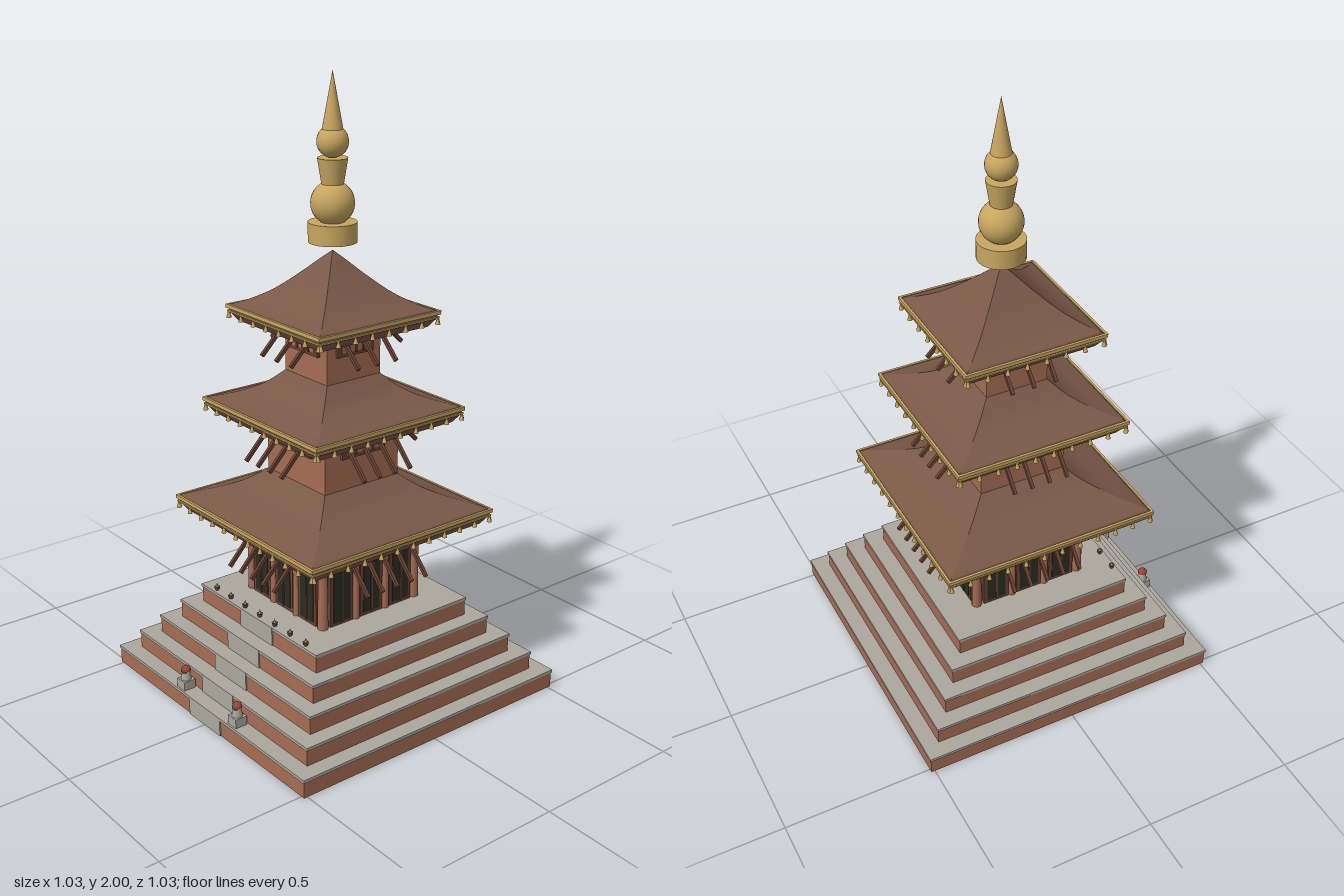
import * as THREE from 'three';

const mat = (name, color, side = THREE.FrontSide) => {
  const m = new THREE.MeshStandardMaterial({ color, side });
  m.name = name;
  return m;
};

export function createModel() {
  const brick = mat('brick', 0xa66c54);
  const stone = mat('stone', 0xaba79e);
  const tile = mat('roof tile', 0x7a5848, THREE.DoubleSide);
  const wood = mat('carved wood', 0x6a4232);
  const dark = mat('dark opening', 0x2b2d22);
  const red = mat('red paint', 0xa2402f);
  const gold = mat('gilded metal', 0xc8a660);
  const bronze = mat('bronze', 0x55564a);

  const model = new THREE.Group();
  model.name = 'tieredTemple';

  const add = (parent, name, geo, material, x = 0, y = 0, z = 0) => {
    const m = new THREE.Mesh(geo, material);
    m.name = name;
    m.position.set(x, y, z);
    parent.add(m);
    return m;
  };
  const box = (parent, name, w, h, d, material, x, y, z) =>
    add(parent, name, new THREE.BoxGeometry(w, h, d), material, x, y, z);
  // Repeats a facade on all four sides
  const fourSides = (name, build) => {
    for (let i = 0; i < 4; i++) {
      const g = new THREE.Group();
      g.name = name;
      g.rotation.y = i * Math.PI / 2;
      build(g);
      model.add(g);
    }
  };

  // Stepped plinth with stone paving and a stair strip on the front
  const halves = [0.512, 0.461, 0.41, 0.359, 0.307];
  const stepH = 0.062;
  halves.forEach((h, i) => {
    const y = i * stepH;
    box(model, 'plinthStep', 2 * h, stepH - 0.01, 2 * h, brick, 0, y + (stepH - 0.01) / 2, 0);
    box(model, 'stepPaving', 2 * h + 0.006, 0.01, 2 * h + 0.006, stone, 0, y + stepH - 0.005, 0);
    box(model, 'stair', 0.17, stepH, 0.008, stone, 0, y + stepH / 2, h);
  });
  const floor = 5 * stepH;

  // Ground storey
  box(model, 'groundStorey', 0.37, 0.28, 0.37, brick, 0, floor + 0.14, 0);
  fourSides('groundFacade', g => {
    for (const x of [-0.12, 0, 0.12]) {
      box(g, 'doorFrame', 0.09, 0.2, 0.02, wood, x, floor + 0.1, 0.188);
      box(g, 'doorLeaf', 0.066, 0.17, 0.008, dark, x, floor + 0.095, 0.196);
      box(g, 'doorMullion', 0.006, 0.17, 0.008, wood, x, floor + 0.095, 0.199);
      box(g, 'lintel', 0.105, 0.032, 0.03, red, x, 0.532, 0.197);
    }
    for (const x of [-0.06, 0.06])
      add(g, 'column', new THREE.CylinderGeometry(0.011, 0.013, 0.27, 10), brick, x, floor + 0.135, 0.193);
    add(g, 'cornerColumn', new THREE.CylinderGeometry(0.014, 0.017, 0.27, 10), brick, 0.187, floor + 0.135, 0.187);
    box(g, 'headBeam', 0.4, 0.02, 0.02, wood, 0, 0.563, 0.19);
  });

  // Upper storeys with latticed windows
  const storey = (half, y0, y1, winW, winH) => {
    box(model, 'upperStorey', 2 * half, y1 - y0, 2 * half, brick, 0, (y0 + y1) / 2, 0);
    fourSides('windowSide', g => {
      const y = y1 - winH / 2 - 0.005;
      box(g, 'windowFrame', winW, winH, 0.012, wood, 0, y, half + 0.004);
      box(g, 'windowPanel', winW - 0.03, winH - 0.025, 0.008, brick, 0, y, half + 0.008);
      for (const k of [-1, 0, 1])
        box(g, 'windowBar', 0.007, winH - 0.02, 0.008, wood, k * winW / 5, y, half + 0.011);
    });
  };
  storey(0.147, 0.7, 0.93, 0.17, 0.085);
  storey(0.105, 1.03, 1.24, 0.14, 0.08);

  // Four-sided roof shell: smooth along the profile, crisp at the hips
  const roofShell = (profile) => {
    const pos = [], idx = [];
    for (let s = 0; s < 4; s++) {
      const c = Math.round(Math.cos(s * Math.PI / 2)), n = Math.round(Math.sin(s * Math.PI / 2));
      const base = pos.length / 3;
      for (const p of profile)
        for (const k of [-1, 1]) pos.push(c * k * p.x + n * p.x, p.y, -n * k * p.x + c * p.x);
      for (let j = 0; j < profile.length - 1; j++) {
        const a = base + 2 * j;
        idx.push(a, a + 1, a + 3, a, a + 3, a + 2);
      }
    }
    const geo = new THREE.BufferGeometry();
    geo.setAttribute('position', new THREE.Float32BufferAttribute(pos, 3));
    geo.setIndex(idx);
    geo.computeVertexNormals();
    return geo;
  };

  // Roofs with gilded eaves, bells and sloping struts
  const roofs = [
    { half: 0.36, y: 0.575, wall: 0.19, bells: 12, struts: 5, drop: 0.13, reach: 0.12,
      curve: [[0.354, 0.628], [0.32, 0.642], [0.26, 0.664], [0.2, 0.694], [0.145, 0.738]] },
    { half: 0.291, y: 0.917, wall: 0.147, bells: 10, struts: 4, drop: 0.115, reach: 0.11,
      curve: [[0.285, 0.97], [0.25, 0.98], [0.2, 0.999], [0.15, 1.028], [0.104, 1.073]] },
    { half: 0.233, y: 1.226, wall: 0.118, bells: 8, struts: 3, drop: 0.085, reach: 0.085,
      curve: [[0.227, 1.279], [0.19, 1.294], [0.13, 1.332], [0.07, 1.388], [0.03, 1.43], [0, 1.46]] },
  ];
  for (const r of roofs) {
    const e = r.half;
    const top = new THREE.SplineCurve(r.curve.map(p => new THREE.Vector2(...p))).getPoints(14);
    add(model, 'roof', roofShell([new THREE.Vector2(e - 0.004, r.y + 0.03), ...top]), tile);
    const V = (x, y) => new THREE.Vector2(x, y);
    add(model, 'eaveFascia', roofShell([V(e - 0.025, r.y), V(e - 0.004, r.y + 0.03)]), tile);
    add(model, 'soffit', roofShell([V(0, r.y), V(e - 0.025, r.y)]), tile);
    fourSides('eaveSide', g => {
      box(g, 'gildedEave', 2 * e + 0.006, 0.012, 0.008, gold, 0, r.y + 0.047, e);
      box(g, 'lowerGilding', 2 * e, 0.005, 0.006, gold, 0, r.y + 0.031, e - 0.002);
      for (let i = 0; i < r.bells; i++) {
        const x = (i / (r.bells - 1) * 2 - 1) * (e - 0.006);
        add(g, 'bell', new THREE.CylinderGeometry(0.002, 0.008, 0.022, 8), gold, x, r.y + 0.021, e - 0.001);
      }
      const len = Math.hypot(r.drop, r.reach);
      for (let i = 0; i < r.struts; i++) {
        const x = (i / (r.struts - 1) * 2 - 1) * r.wall * 0.62;
        const s = box(g, 'strut', 0.01, len, 0.012, wood, x, r.y + 0.005 - r.drop / 2, r.wall + 0.015 + r.reach / 2);
        s.rotation.x = -Math.atan2(r.reach, r.drop);
      }
    });
  }

  // Gilded finial
  add(model, 'finialDrum', new THREE.CylinderGeometry(0.076, 0.076, 0.062, 24), gold, 0, 1.517, 0);
  add(model, 'finialBulb', new THREE.SphereGeometry(0.068, 24, 16), gold, 0, 1.605, 0);
  add(model, 'finialVase', new THREE.CylinderGeometry(0.047, 0.034, 0.08, 24), gold, 0, 1.702, 0);
  add(model, 'finialBead', new THREE.SphereGeometry(0.049, 24, 16), gold, 0, 1.79, 0);
  add(model, 'finialSpire', new THREE.ConeGeometry(0.033, 0.178, 24), gold, 0, 1.911, 0);

  // Guardian statues beside the stair
  for (const side of [-1, 1]) {
    const g = new THREE.Group();
    g.name = 'guardian';
    g.position.set(side * 0.143, stepH, 0.488);
    box(g, 'pedestal', 0.042, 0.03, 0.042, stone, 0, 0.015, 0);
    add(g, 'guardianBody', new THREE.CylinderGeometry(0.012, 0.018, 0.032, 10), stone, 0, 0.044, 0);
    add(g, 'guardianHead', new THREE.SphereGeometry(0.013, 12, 8), bronze, 0, 0.062, 0.004);
    add(g, 'guardianCap', new THREE.SphereGeometry(0.016, 12, 6, 0, Math.PI * 2, 0, Math.PI / 2), red, 0, 0.061, 0);
    model.add(g);
  }

  // Row of oil lamps along the front edge of the platform
  for (let i = -3; i <= 3; i++) {
    add(model, 'lampCup', new THREE.CylinderGeometry(0.01, 0.006, 0.012, 10), bronze, i * 0.08, floor + 0.006, 0.295);
    add(model, 'lampFlame', new THREE.ConeGeometry(0.005, 0.014, 8), gold, i * 0.08, floor + 0.019, 0.295);
  }
  return model;
}
